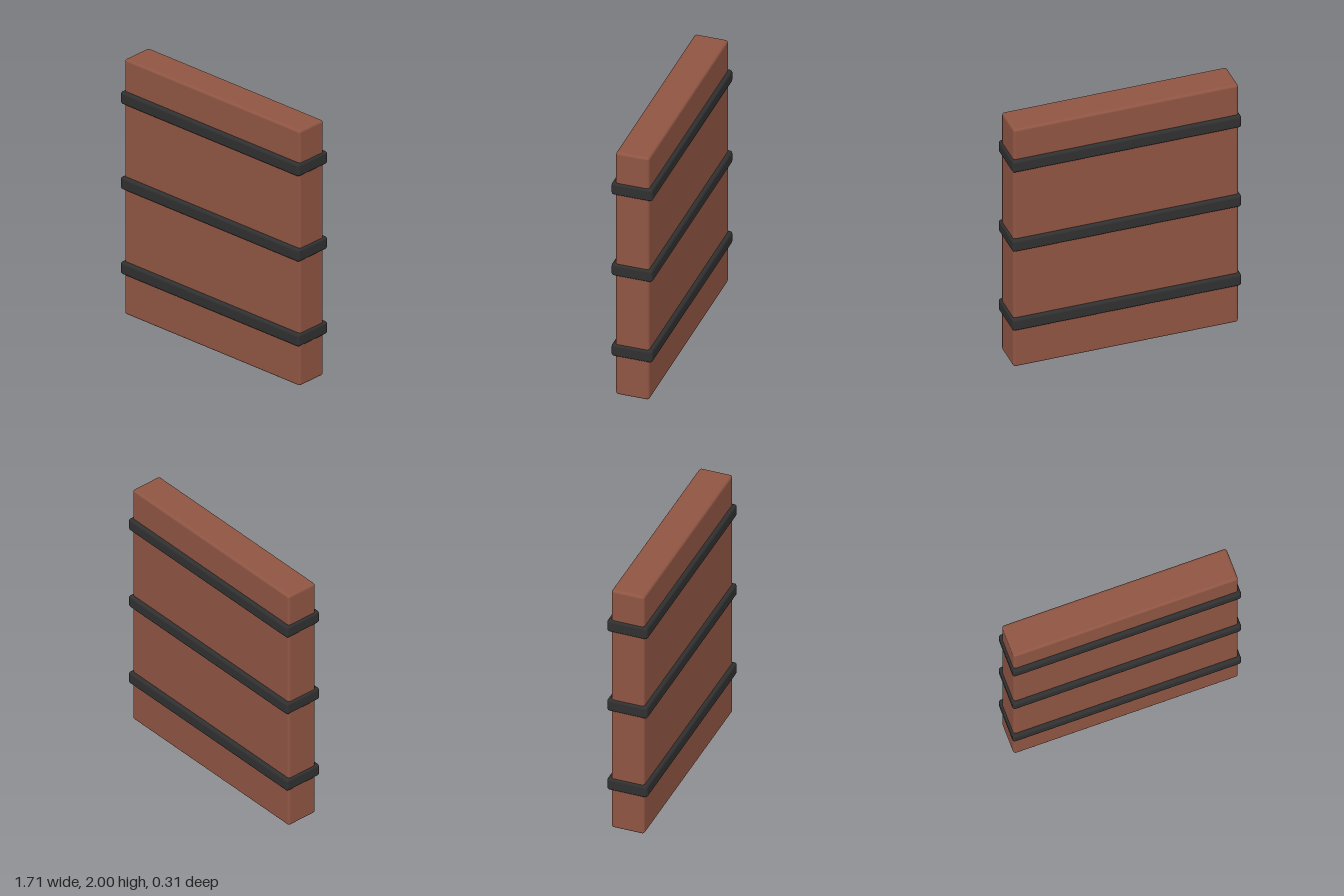
import * as THREE from 'three';
import { RoundedBoxGeometry } from 'three/addons/geometries/RoundedBoxGeometry.js';

export function createModel() {
  const wood = new THREE.MeshStandardMaterial({ color: 0x8f5543 });
  wood.name = 'reddish brown wood';
  const iron = new THREE.MeshStandardMaterial({ color: 0x303030 });
  iron.name = 'dark iron';

  const model = new THREE.Group();
  model.name = 'bandedPanel';

  // Soft-edged block centred at height y
  function block(name, w, h, d, y, radius, material) {
    const mesh = new THREE.Mesh(new RoundedBoxGeometry(w, h, d, 2, radius), material);
    mesh.name = name;
    mesh.position.y = y;
    model.add(mesh);
  }

  // Solid panel
  block('panel', 1.68, 2, 0.25, 1, 0.02, wood);

  // Three bands wrapped around the panel
  const bands = { lowerBand: 0.369, middleBand: 1.034, upperBand: 1.702 };
  for (const [name, y] of Object.entries(bands)) {
    block(name, 1.71, 0.098, 0.306, y, 0.02, iron);
  }

  return model;
}
